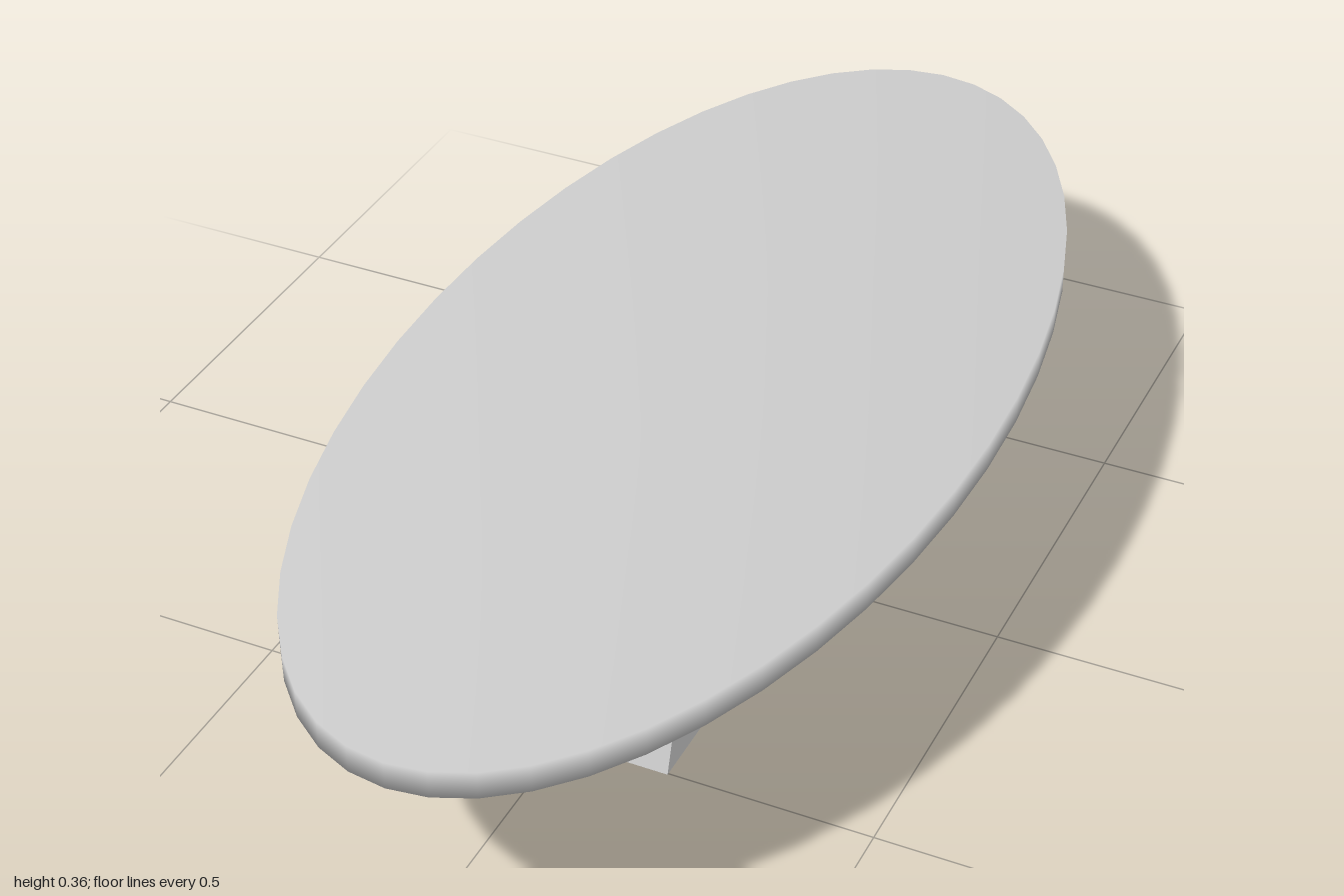
import * as THREE from 'three';
import { mergeVertices } from 'three/addons/utils/BufferGeometryUtils.js';

const BASE_HEIGHT = 0.313;
const TOP_THICKNESS = 0.045;

// Elliptical slab whose normals blend softly over the rim
function createTabletop(material) {
  let geometry = new THREE.CylinderGeometry(1, 1, TOP_THICKNESS, 48);
  geometry.scale(0.467, 1, 1);
  geometry.deleteAttribute('normal');
  geometry.deleteAttribute('uv');
  geometry = mergeVertices(geometry);
  geometry.computeVertexNormals();
  const top = new THREE.Mesh(geometry, material);
  top.name = 'tabletop';
  top.position.y = BASE_HEIGHT + TOP_THICKNESS / 2;
  return top;
}

// Block with its two ends leaning inward towards the top
function createBase(material) {
  const geometry = new THREE.BoxGeometry(0.348, BASE_HEIGHT, 1.005);
  const position = geometry.attributes.position;
  for (let i = 0; i < position.count; i++) {
    if (position.getY(i) > 0) position.setZ(i, Math.sign(position.getZ(i)) * 0.405);
  }
  geometry.computeVertexNormals();
  const base = new THREE.Mesh(geometry, material);
  base.name = 'base';
  base.position.y = BASE_HEIGHT / 2;
  return base;
}

export function createModel() {
  const material = new THREE.MeshStandardMaterial({ color: 0xcccccc });
  const table = new THREE.Group();
  table.name = 'coffeeTable';
  table.add(createTabletop(material), createBase(material));
  return table;
}
